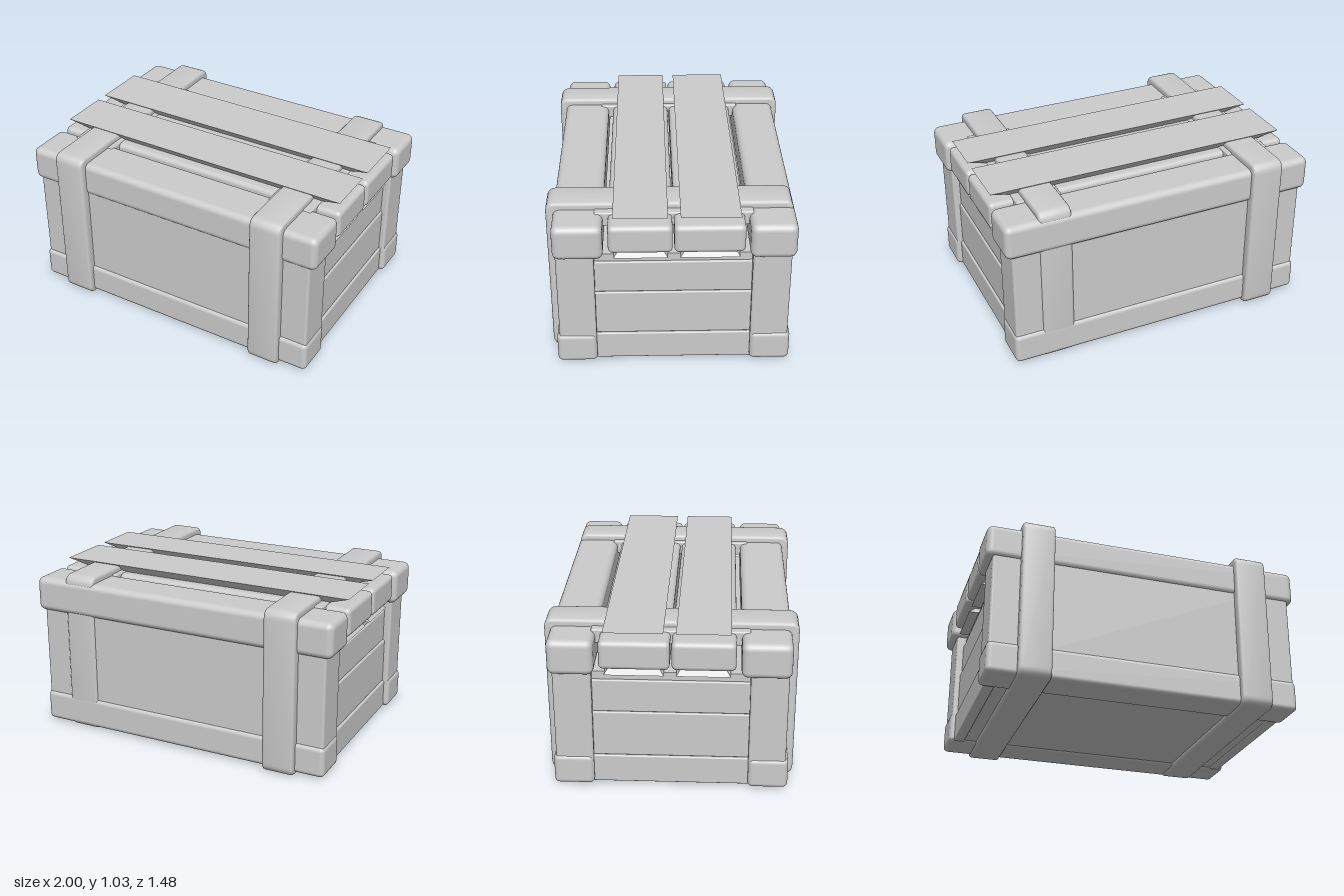
import * as THREE from 'three';
import { RoundedBoxGeometry } from 'three/addons/geometries/RoundedBoxGeometry.js';
import { toCreasedNormals } from 'three/addons/utils/BufferGeometryUtils.js';

const material = new THREE.MeshStandardMaterial({ color: 0xcccccc });

export function createModel() {
  const group = new THREE.Group();

  function add(name, geometry, x = 0, y = 0, z = 0) {
    const mesh = new THREE.Mesh(geometry, material);
    mesh.name = name;
    mesh.position.set(x, y, z);
    group.add(mesh);
  }

  // Box given by its limits, with rounded edges when r > 0
  function block(name, x0, x1, y0, y1, z0, z1, r = 0) {
    const size = [x1 - x0, y1 - y0, z1 - z0];
    const geometry = r > 0 ? new RoundedBoxGeometry(...size, 3, r) : new THREE.BoxGeometry(...size);
    add(name, geometry, (x0 + x1) / 2, (y0 + y1) / 2, (z0 + z1) / 2);
  }

  // Thin board whose underside or upper side is drawn in, leaving slanted ends
  function slantedBoard(name, halfX, y0, y1, z0, z1, insetX, insetZ, narrowTop) {
    const geometry = new THREE.BoxGeometry(halfX * 2, y1 - y0, z1 - z0).toNonIndexed();
    const p = geometry.attributes.position;
    for (let i = 0; i < p.count; i++) {
      if ((p.getY(i) > 0) !== narrowTop) continue;
      p.setX(i, p.getX(i) - Math.sign(p.getX(i)) * insetX);
      p.setZ(i, p.getZ(i) - Math.sign(p.getZ(i)) * insetZ);
    }
    geometry.computeVertexNormals();
    add(name, geometry, 0, (y0 + y1) / 2, (z0 + z1) / 2);
  }

  // Rounded rectangle in (z, y)
  function roundedRect(path, a0, a1, b0, b1, r) {
    path.moveTo(a0 + r, b0);
    path.lineTo(a1 - r, b0);
    path.quadraticCurveTo(a1, b0, a1, b1 === b0 ? b0 : b0 + r);
    path.lineTo(a1, b1 - r);
    path.quadraticCurveTo(a1, b1, a1 - r, b1);
    path.lineTo(a0 + r, b1);
    path.quadraticCurveTo(a0, b1, a0, b1 - r);
    path.lineTo(a0, b0 + r);
    path.quadraticCurveTo(a0, b0, a0 + r, b0);
    return path;
  }

  // Strap running all the way round the crate
  function strap(x, back, front) {
    const b = 0.018, width = 0.2;
    const shape = roundedRect(new THREE.Shape(), -front + b, -back - b, b, 1.024 - b, 0.04);
    shape.holes.push(roundedRect(new THREE.Path(), -front + 0.09, -back - 0.09, 0.08, 0.94, 0.02));
    const geometry = new THREE.ExtrudeGeometry(shape, {
      depth: width - 2 * b, bevelThickness: b, bevelSize: b, bevelSegments: 3, curveSegments: 5,
    });
    geometry.translate(0, 0, -width / 2 + b);
    geometry.rotateY(Math.PI / 2); // shape x becomes -z, depth becomes x
    add('strap', toCreasedNormals(geometry, 0.7), x, 0, 0);
  }

  // Inner body and floor
  block('innerBody', -0.9, 0.9, 0.03, 0.75, -0.62, 0.62);

  // Long walls with their lower and upper rails
  block('frontWall', -0.96, 0.96, 0.04, 0.9, 0.46, 0.682, 0.015);
  block('backWall', -0.96, 0.96, 0.04, 0.9, -0.685, -0.46, 0.015);
  block('frontBottomRail', -0.97, 0.97, 0.015, 0.21, 0.46, 0.698, 0.03);
  block('backBottomRail', -0.97, 0.97, 0.015, 0.21, -0.7, -0.46, 0.03);
  block('frontTopRail', -1, 1, 0.765, 0.982, 0.405, 0.695, 0.04);
  block('backTopRail', -1, 1, 0.765, 0.982, -0.708, -0.44, 0.04);

  // End boards, each course set a little further in
  const courses = [[0.02, 0.2, 0.937], [0.2, 0.492, 0.925], [0.492, 0.7, 0.915]];
  for (const side of [-1, 1]) {
    for (const [y0, y1, x] of courses) {
      const inner = side * 0.87, outer = side * x;
      block('endBoard', Math.min(inner, outer), Math.max(inner, outer), y0, y1, -0.47, 0.47, 0.008);
    }
    // Lid batten under the planks
    block('lidBatten', side * 0.7 - 0.14, side * 0.7 + 0.14, 0.9, 0.988, -0.465, 0.455, 0.01);
  }

  // Lid planks with the flat boards above and below them
  const planks = [
    { z: [0.006, 0.375], board: [0.032, 0.345] },
    { z: [-0.412, -0.004], board: [-0.385, -0.04] },
  ];
  for (const { z, board } of planks) {
    block('lidPlank', -0.99, 0.99, 0.803, 0.98, ...z, 0.03);
    slantedBoard('topBoard', 0.97, 0.978, 1.03, ...board, 0.15, 0.04, false);
    slantedBoard('underBoard', 0.96, 0.757, 0.81, ...board, 0.05, 0.04, true);
  }

  // Straps; the one on the left sits flush with the back wall
  strap(-0.69, -0.743, 0.737);
  strap(0.69, -0.699, 0.737);

  return group;
}
